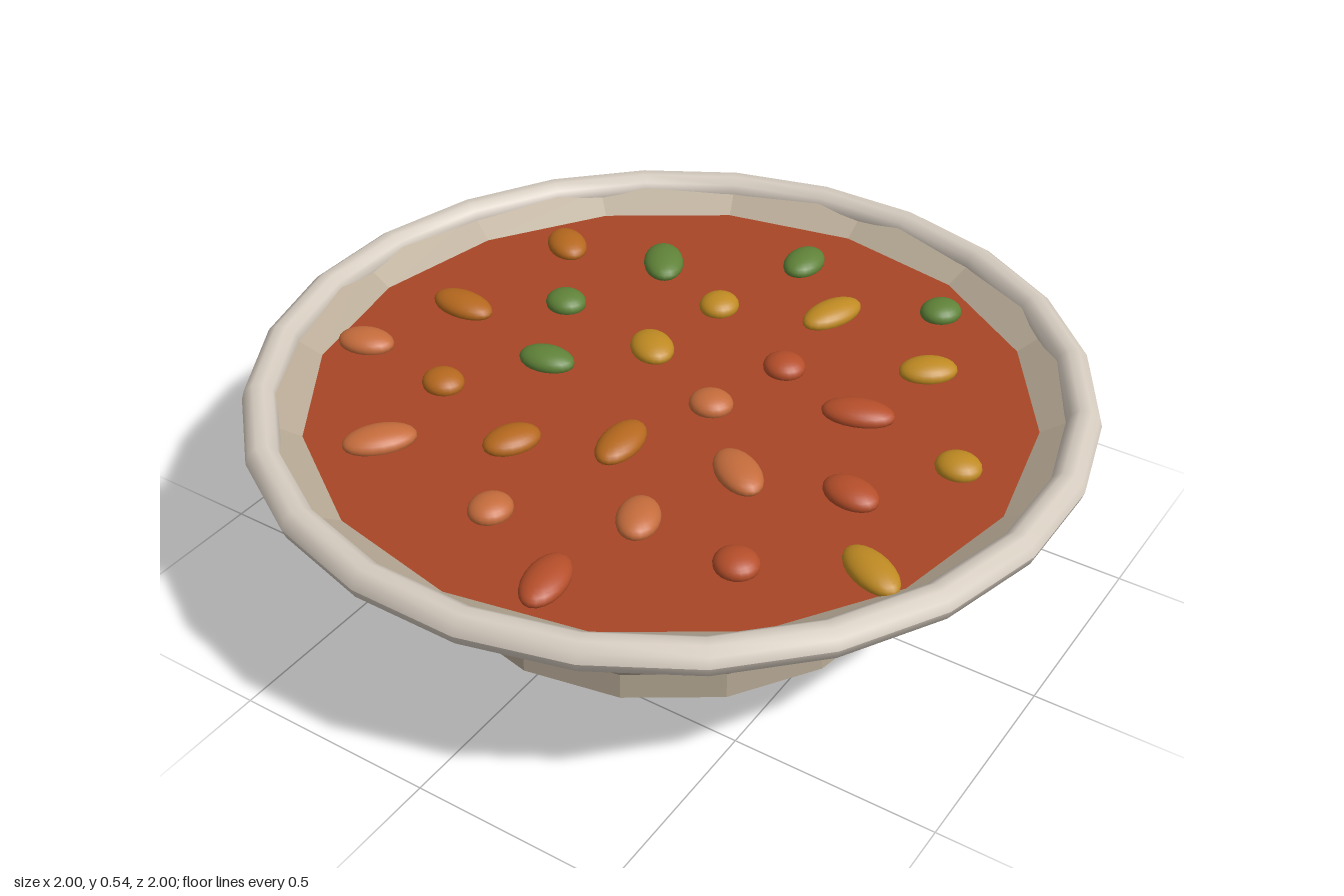
import * as THREE from 'three';

const mat = (color, flatShading = false) =>
  new THREE.MeshStandardMaterial({ color, flatShading, side: THREE.DoubleSide });

function addMesh(parent, name, geometry, material) {
  const mesh = new THREE.Mesh(geometry, material);
  mesh.name = name;
  parent.add(mesh);
  return mesh;
}

const lathe = (points, sides, start = 0) =>
  new THREE.LatheGeometry(points.map(([r, y]) => new THREE.Vector2(r, y)), sides, start);

export function createModel() {
  const model = new THREE.Group();
  model.name = 'bowlOfStew';
  const clay = mat(0xb8aa96, true);
  const halfStep = Math.PI / 24;

  // Stepped base
  const foot = addMesh(model, 'foot', new THREE.CylinderGeometry(0.505, 0.505, 0.06, 16), clay);
  foot.position.y = 0.03;
  const collar = addMesh(model, 'collar', new THREE.CylinderGeometry(0.617, 0.617, 0.08, 16), clay);
  collar.position.y = 0.09;

  // Flared outer wall, and a coarser inner wall whose corners show as wedges low on the outside
  addMesh(model, 'outerWall', lathe([[0.6, 0.125], [0.985, 0.485]], 24, halfStep), clay);
  addMesh(model, 'innerWall',
    lathe([[0.622, 0.125], [0.845, 0.36], [0.87, 0.47], [0.945, 0.515]], 16), clay);

  // Rounded rim
  const rimProfile = [];
  for (let i = 0; i <= 10; i++) {
    const a = (i / 10) * Math.PI * 2;
    rimProfile.push([0.967 + 0.041 * Math.cos(a), 0.505 + 0.04 * Math.sin(a)]);
  }
  addMesh(model, 'rim', lathe(rimProfile, 24, halfStep), mat(0xd6ccc0));

  // Stew surface
  const soupY = 0.47;
  const stew = addMesh(model, 'stewSurface', new THREE.CircleGeometry(0.87, 16), mat(0xa84627));
  stew.rotation.x = -Math.PI / 2;
  stew.position.y = soupY;

  // Floating pieces: x, z, half length, half width, turn in degrees from +x towards +z
  const pieces = {
    green: [0x5f8238, [
      [-0.03, -0.685, 0.072, 0.05, 85], [0.38, -0.665, 0.054, 0.05, 110],
      [-0.34, -0.485, 0.085, 0.052, 55], [-0.44, -0.185, 0.054, 0.05, 20],
      [-0.325, 0.055, 0.072, 0.048, -8]]],
    golden: [0xbf8a22, [
      [0.155, -0.505, 0.09, 0.048, -72], [-0.105, -0.385, 0.054, 0.05, 80],
      [0.475, -0.41, 0.072, 0.05, -40], [-0.14, -0.13, 0.07, 0.053, 40],
      [0.71, -0.1, 0.055, 0.05, 0], [0.72, 0.33, 0.088, 0.047, 28]]],
    amber: [0xb5681e, [
      [-0.605, -0.42, 0.073, 0.05, 38], [-0.65, -0.03, 0.088, 0.049, 3],
      [-0.475, 0.27, 0.054, 0.05, 15], [0.02, 0.24, 0.088, 0.049, 85],
      [-0.195, 0.37, 0.072, 0.05, -65]]],
    orange: [0xc56c3c, [
      [0.11, -0.005, 0.054, 0.051, 0], [0.305, 0.19, 0.087, 0.051, 35],
      [-0.745, 0.235, 0.072, 0.05, -15], [0.21, 0.45, 0.073, 0.05, 65],
      [-0.45, 0.535, 0.088, 0.052, -52], [-0.08, 0.6, 0.055, 0.05, 90]]],
    red: [0xb54e2a, [
      [0.175, -0.235, 0.054, 0.051, 30], [0.42, -0.16, 0.088, 0.05, -18],
      [0.555, 0.12, 0.072, 0.05, 12], [0.47, 0.465, 0.054, 0.051, 30],
      [0.165, 0.73, 0.088, 0.05, 78]]],
  };
  const pieceShape = new THREE.SphereGeometry(1, 20, 14);
  for (const [name, [color, spots]] of Object.entries(pieces)) {
    const group = new THREE.Group();
    group.name = name + 'Pieces';
    model.add(group);
    const material = mat(color);
    for (const [x, z, length, width, turn] of spots) {
      const piece = addMesh(group, name + 'Piece', pieceShape, material);
      piece.position.set(x, soupY + 0.008, z);
      piece.scale.set(length, 0.03, width);
      piece.rotation.y = -THREE.MathUtils.degToRad(turn);
    }
  }
  return model;
}
